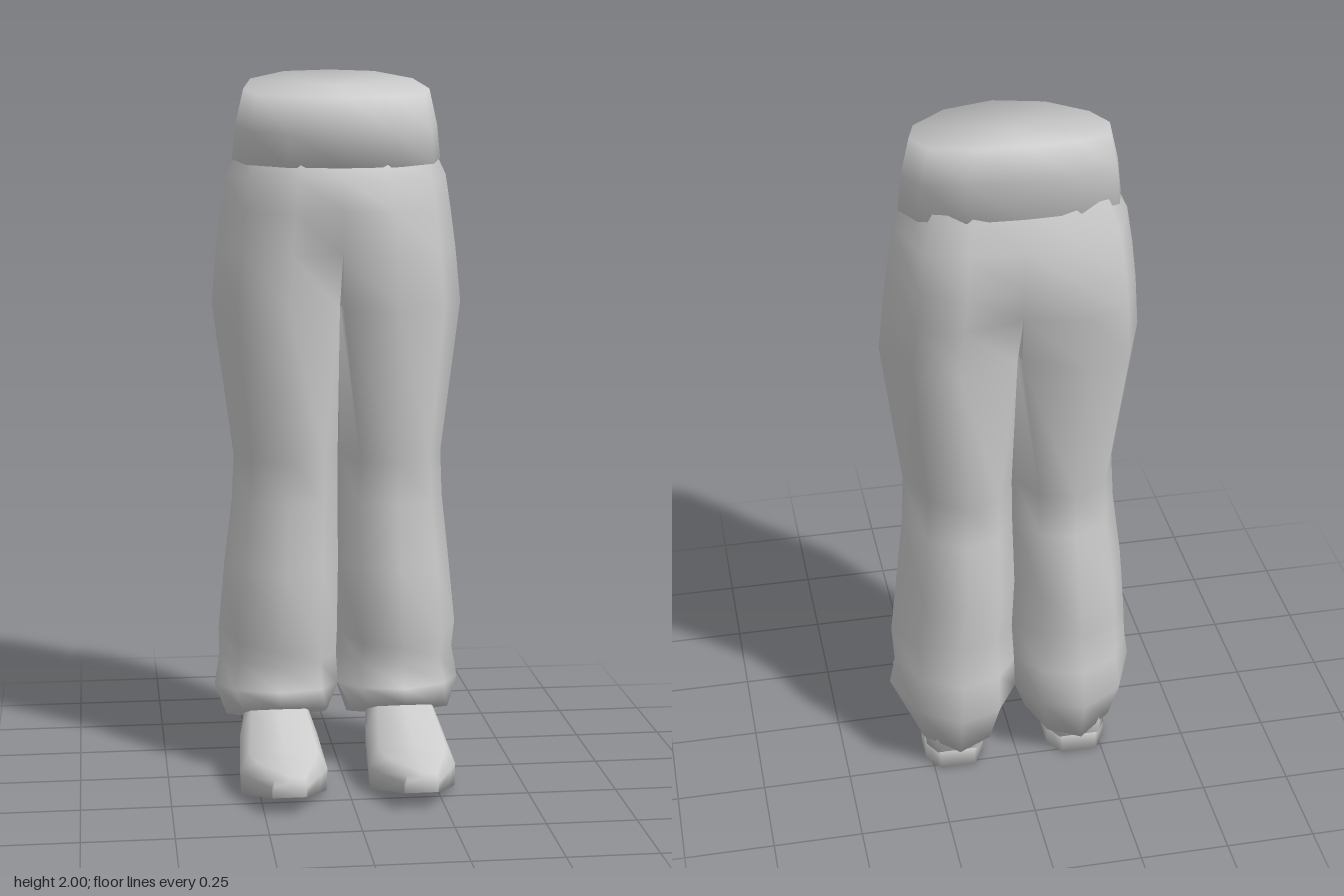
import * as THREE from 'three';
import { mergeGeometries, mergeVertices } from 'three/addons/utils/BufferGeometryUtils.js';

const material = new THREE.MeshStandardMaterial({ color: 0xcccccc, side: THREE.DoubleSide });

// Skin a list of equal-length rings; each end may be closed with a fan.
function loft(rings, capStart, capEnd) {
  const n = rings[0].length;
  const pos = rings.flat(2);
  const index = [];
  for (let i = 0; i < rings.length - 1; i++) {
    for (let j = 0; j < n; j++) {
      const k = (j + 1) % n;
      const a = i * n + j, b = i * n + k, c = a + n, d = b + n;
      index.push(a, b, c, b, d, c);
    }
  }
  const cap = (first, flip) => {
    const ring = rings[first / n];
    const centre = pos.length / 3;
    for (let axis = 0; axis < 3; axis++) pos.push(ring.reduce((s, p) => s + p[axis], 0) / n);
    for (let j = 0; j < n; j++) {
      const a = first + j, b = first + (j + 1) % n;
      index.push(centre, flip ? b : a, flip ? a : b);
    }
  };
  if (capStart) cap(0, true);
  if (capEnd) cap((rings.length - 1) * n, false);
  const geometry = new THREE.BufferGeometry();
  geometry.setAttribute('position', new THREE.Float32BufferAttribute(pos, 3));
  geometry.setIndex(index);
  return geometry;
}

const mirrorRings = rings => rings.map(r => r.map(([x, y, z]) => [-x, y, z]).reverse());

function part(name, geometry) {
  geometry.computeVertexNormals();
  const mesh = new THREE.Mesh(geometry, material);
  mesh.name = name;
  return mesh;
}

// Unit outlines of a leg: u runs inner to outer, v runs back to front.
const legOutline = [[0.16, 0.9], [0.5, 1], [0.85, 0.83], [1, 0.56], [0.83, 0.18], [0.5, 0], [0.18, 0.1], [0, 0.35], [0, 0.66]];
const hipOutline = [[0, 1], [0.42, 1], [0.82, 0.76], [1, 0.49], [0.82, 0.11], [0.48, 0], [0, 0], [0, 0.3], [0, 0.66]];

// Trouser leg levels: y at front, y at back, inner x, outer x, front z, back z,
// hip blend, depth of the cleft at the front seam, and at the back seam
const legLevels = [
  [0.21, 0.08, 0.035, 0.325, 0.055, -0.3, 0, 0, 0],
  [0.25, 0.22, 0, 0.357, 0.04, -0.342, 0, 0, 0],
  [0.315, 0.34, 0.004, 0.342, 0.01, -0.332, 0, 0, 0],
  [0.37, 0.46, 0.005, 0.345, 0.05, -0.308, 0, 0, 0],
  [0.6, 0.6, 0.001, 0.327, 0.053, -0.335, 0, 0, 0],
  [0.79, 0.79, 0.003, 0.304, 0.043, -0.292, 0, 0, 0],
  [0.92, 0.92, 0.004, 0.298, 0.06, -0.295, 0, 0, 0],
  [1.35, 1.35, 0, 0.355, 0.105, -0.33, 0.9, 0.22, 0.18],
  [1.5, 1.5, 0, 0.342, 0.105, -0.347, 1, 0.13, 0.1],
  [1.62, 1.6, 0, 0.328, 0.102, -0.355, 1, 0.02, 0.03],
  [1.71, 1.71, 0, 0.312, 0.09, -0.335, 1, 0.02, 0],
  [1.76, 1.81, 0, 0.275, 0.07, -0.305, 1, 0.02, 0],
];

const legRings = legLevels.map(([yf, yb, inner, outer, front, back, blend, frontCleft, backCleft]) => legOutline.map(([u, v], j) => {
  const cleft = { 0: -frontCleft, 6: backCleft }[j] ?? 0;
  const s = THREE.MathUtils.lerp(u, hipOutline[j][0], blend);
  const t = THREE.MathUtils.lerp(v, hipOutline[j][1] + cleft, blend);
  return [inner + s * (outer - inner), yb + t * (yf - yb), back + t * (front - back)];
}));

// Waistband: half outline from front to back, mirrored into a full ring
const waistOutline = [[0, 1], [0.52, 0.92], [0.89, 0.71], [1, 0.47], [0.89, 0.19], [0.5, 0.03], [0, 0]];
function waistRing(width, front, back, yFront, yBack) {
  const half = waistOutline.map(([u, v]) => [u * width, yFront + (yBack - yFront) * (1 - v) ** 2, back + v * (front - back)]);
  return [...half, ...half.slice(1, -1).reverse().map(([x, y, z]) => [-x, y, z])];
}

// Shoe sections, heel to toe: z, half width, bottom, top, half width of top
const shoeX = 0.182;
const shoeSections = [
  [-0.265, 0.06, 0.06, 0.2, 0.05],
  [-0.22, 0.085, 0.06, 0.24, 0.065],
  [-0.11, 0.092, 0.06, 0.24, 0.07],
  [0, 0.111, 0.035, 0.2, 0.078],
  [0.17, 0.123, 0.003, 0.13, 0.095],
  [0.23, 0.1, 0.017, 0.118, 0.08],
  [0.345, 0.049, 0.046, 0.105, 0.042],
  [0.355, 0.046, 0.05, 0.092, 0.042],
];
const shoeRings = shoeSections.map(([z, w, lo, hi, t]) => {
  const side = [[w * 0.98, lo], [w, lo + (hi - lo) * 0.5], [t, hi - 0.008]];
  return [...side, [0, hi], ...side.map(([x, y]) => [-x, y]).reverse()].map(([x, y]) => [shoeX + x, y, z]);
});

// Heel block, straight at the front and rounded at the back
const heelOutline = [[0.085, -0.125], [0.085, -0.21], [0.05, -0.265], [-0.05, -0.265], [-0.085, -0.21], [-0.085, -0.125]];
const heelRings = [0, 0.07].map(y => heelOutline.map(([x, z]) => [shoeX + x, y, z]));

export function createModel() {
  const model = new THREE.Group();
  model.name = 'trousersAndShoes';

  // Waistband with a softly shaded closed top
  model.add(part('waistband', loft([
    waistRing(0.26, 0.06, -0.29, 1.755, 1.81),
    waistRing(0.295, 0.1, -0.318, 1.74, 1.795),
    waistRing(0.285, 0.113, -0.322, 1.83, 1.9),
    waistRing(0.262, 0.125, -0.328, 1.93, 2),
  ], false, true)));

  // Both legs are closed at the hem and welded along the seam so the hips shade as one body
  const legs = [legRings, mirrorRings(legRings)].map(rings => loft(rings, true, false));
  model.add(part('trousers', mergeVertices(mergeGeometries(legs))));

  for (const side of ['left', 'right']) {
    const place = rings => (side === 'left' ? rings : mirrorRings(rings));
    model.add(part(side + 'Shoe', loft(place(shoeRings), true, true)));
    model.add(part(side + 'Heel', loft(place(heelRings), true, true)));
  }
  return model;
}
